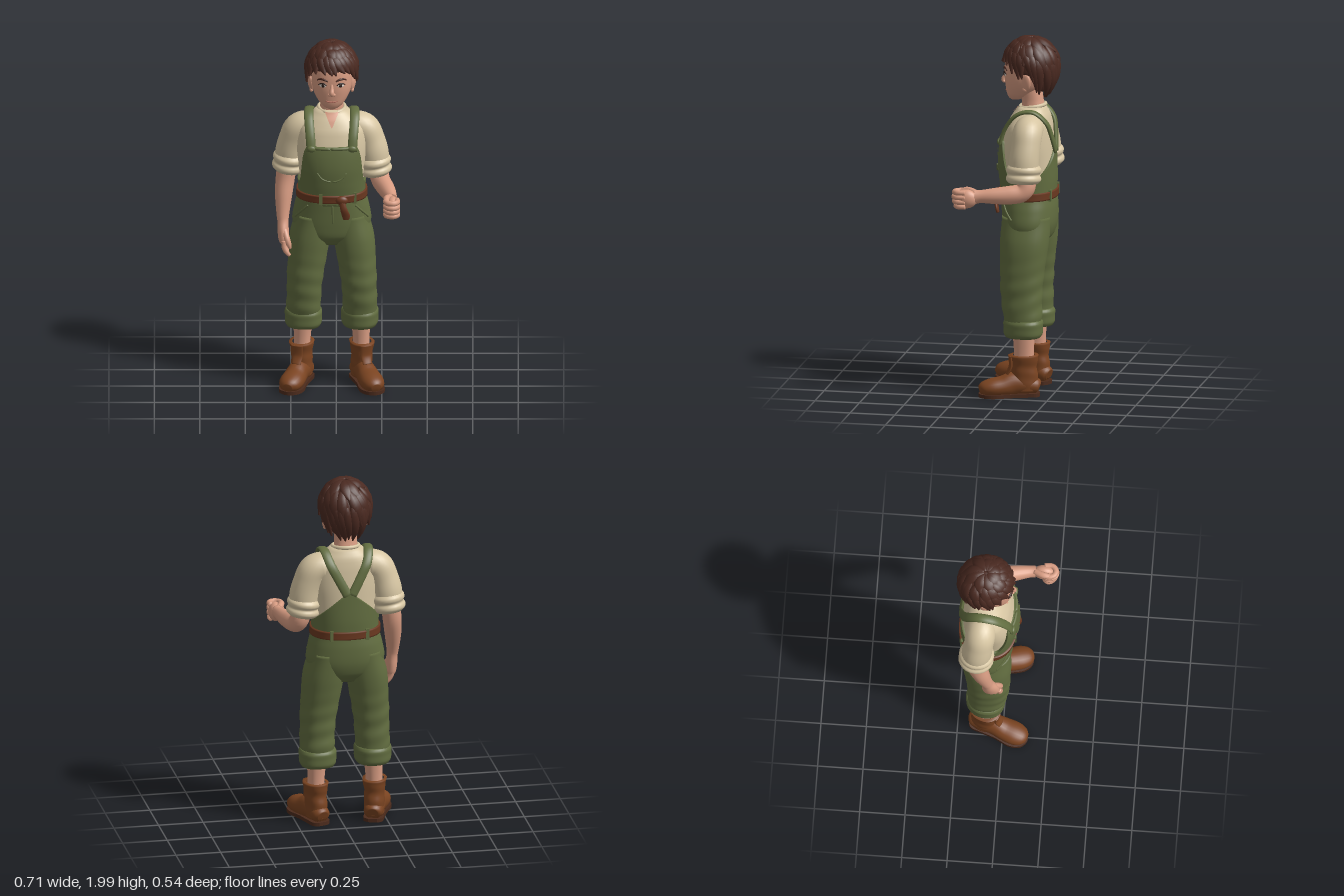
import * as THREE from 'three';

const mat = (name, color) => Object.assign(new THREE.MeshStandardMaterial({ color }), { name });
const { clamp, lerp, smoothstep } = THREE.MathUtils;
const AXIS = -0.025; // the body stands a little off centre because of the raised arm
const BULGE = 0.9;   // below 1 makes cross-sections slightly boxy

// Smooth interpolation through rows of numbers, t in 0..1
function sample(rows, t) {
  const k = clamp(t, 0, 1) * (rows.length - 1), i = Math.min(Math.floor(k), rows.length - 2), f = k - i;
  const row = n => rows[clamp(n, 0, rows.length - 1)];
  return rows[0].map((_, c) => {
    const [p, q, r, s] = [row(i - 1)[c], row(i)[c], row(i + 1)[c], row(i + 2)[c]];
    return q + 0.5 * f * (r - p + f * (2 * p - 5 * q + 4 * r - s + f * (3 * (q - r) + s - p)));
  });
}

// Closed skin of rings; the first and last ring repeat the end so they can be drawn in
function grid(nu, nv, fn) {
  const pos = [], idx = [];
  for (let j = 0; j <= nv; j++) for (let i = 0; i < nu; i++)
    pos.push(...fn(i / nu * Math.PI * 2, clamp((j - 1) / (nv - 2), 0, 1), j === 0 || j === nv));
  for (let j = 0; j < nv; j++) for (let i = 0; i < nu; i++) {
    const a = j * nu + i, b = j * nu + (i + 1) % nu;
    idx.push(a, b, b + nu, a, b + nu, a + nu);
  }
  const g = new THREE.BufferGeometry();
  g.setAttribute('position', new THREE.Float32BufferAttribute(pos, 3));
  g.setIndex(idx);
  g.computeVertexNormals();
  return g;
}

// Upright forms are rows of [y, centre z, half width, half depth, centre x]
function ringAt(rows, y) {
  let i = 0;
  while (i < rows.length - 2 && y > rows[i + 1][0]) i++;
  return sample(rows, (i + (y - rows[i][0]) / (rows[i + 1][0] - rows[i][0])) / (rows.length - 1));
}
const power = v => Math.sign(v) * Math.abs(v) ** BULGE;
function wrap(rows, { y0 = rows[0][0], top = () => rows.at(-1)[0], off = 0, inset = 0, nu = 32, nv = 24, wobble = () => 0 } = {}) {
  return grid(nu, nv, (a, t, end) => {
    const y = lerp(y0, top(a), t), [, z, rx, rz, x = 0] = ringAt(rows, y);
    const k = (end ? inset : 1) * (1 + wobble(a, y));
    return [x + power(Math.sin(a)) * (rx + off) * k, y, z + power(Math.cos(a)) * (rz + off) * k];
  });
}
function surfaceZ(rows, x, y, side = 1) {
  const [, z, rx, rz] = ringAt(rows, y), s = Math.min(1, (Math.abs(x) / rx) ** (1 / BULGE));
  return z + side * rz * (1 - s * s) ** (BULGE / 2);
}
// Thin patch laid on the front of an upright form
function drape(rows, yTop, yBottom, wTop, wBottom, off) {
  const g = new THREE.PlaneGeometry(1, 1, 12, 10), p = g.attributes.position;
  for (let i = 0; i < p.count; i++) {
    const f = p.getY(i) + 0.5, x = p.getX(i) * 2 * lerp(wBottom, wTop, f), y = lerp(yBottom, yTop, f);
    p.setXYZ(i, x, y, surfaceZ(rows, x, y) + off);
  }
  g.computeVertexNormals();
  return g;
}

// Limbs are rows of [x, y, z, radius along ref, radius across]
function tube(rows, ref = [1, 0, 0], nu = 14, nv = 22, floor = -1) {
  rows = rows.map(r => r.length < 5 ? [...r, r[3]] : r);
  return grid(nu, nv, (a, t, end) => {
    const [x, y, z, rn, rb] = sample(rows, t);
    const T = new THREE.Vector3(...sample(rows, t + 0.02)).sub(new THREE.Vector3(...sample(rows, t - 0.02))).normalize();
    const N = new THREE.Vector3(...ref).addScaledVector(T, -T.dot(new THREE.Vector3(...ref))).normalize();
    const B = T.clone().cross(N), k = end ? 0 : 1;
    const p = new THREE.Vector3(x, y, z).addScaledVector(N, rn * k * Math.cos(a)).addScaledVector(B, rb * k * Math.sin(a));
    return [p.x, Math.max(p.y, floor), p.z];
  });
}

export function createModel() {
  const skin = mat('skin', 0xd99d83), cloth = mat('shirt cloth', 0xd6c5a2), green = mat('overall cloth', 0x626d40),
    leather = mat('belt leather', 0x6b3820), bootLeather = mat('boot leather', 0x7b4421), soleMat = mat('sole', 0x4c2b1c),
    hairMat = mat('hair', 0x4b2a21), white = mat('eye white', 0xe8e0d6), dark = mat('dark eye', 0x2c1d18), lip = mat('lip', 0xb9705f);
  const model = new THREE.Group(), body = new THREE.Group();
  body.name = 'body';
  body.position.x = AXIS;
  model.add(body);
  const add = (name, geometry, material, parent = body) => {
    const m = new THREE.Mesh(geometry, material);
    m.name = name;
    parent.add(m);
    return m;
  };
  const ball = (name, material, p, s, parent = body) => {
    const m = add(name, new THREE.SphereGeometry(1, 20, 14), material, parent);
    m.position.set(...p);
    m.scale.set(...s);
    return m;
  };

  // Torso, neck and shirt
  const torso = [[1.0, -.095, .185, .145], [1.1, -.095, .175, .138], [1.2, -.09, .176, .146], [1.3, -.085, .185, .148],
    [1.4, -.088, .194, .14], [1.5, -.097, .185, .122], [1.56, -.107, .135, .1], [1.605, -.112, .082, .072]];
  add('shirt', wrap(torso, { nu: 48, nv: 36 }), cloth);
  add('neck', wrap([[1.5, -.118, .07, .066], [1.6, -.117, .066, .063], [1.64, -.113, .062, .06], [1.72, -.1, .064, .062]]), skin);
  add('neckOpening', drape(torso, 1.6, 1.525, .038, .002, .004), skin);
  const collar = add('collar', new THREE.TorusGeometry(.072, .011, 8, 40, Math.PI * 2 - 0.9).rotateZ(Math.PI / 2 + 0.45).rotateX(-Math.PI / 2).rotateY(Math.PI), cloth);
  collar.geometry.rotateY(Math.PI);
  collar.rotation.set(0.12, Math.PI, 0);
  collar.position.set(0, 1.604, -.112);

  // Overalls: bib shell, pocket, straps
  const bibTop = a => {
    const d = Math.min(a, Math.PI * 2 - a);
    if (d < 1.5) return lerp(1.425, 1.2, smoothstep(d, .65, 1.25));
    return 1.2 + .17 * Math.max(0, (d - 1.8) / 1.34) ** 1.3;
  };
  add('bib', wrap(torso, { y0: 1.08, top: bibTop, off: .012, inset: .92, nu: 80, nv: 26 }), green);
  add('bibPocket', drape(torso, 1.37, 1.23, .085, .075, .018), green);
  const line = (pts, r, side = 1, off = .012) => pts.map(([x, y]) => [x, y, surfaceZ(torso, x, y, side) + side * off, r]);
  add('bibHem', tube(line([-.115, -.06, 0, .06, .115].map(x => [x, 1.418]), .009)), green);
  add('pocketSeam', tube(line([[-.08, 1.28], [-.05, 1.245], [0, 1.232], [.05, 1.245], [.08, 1.28]], .005, 1, .017)), green);
  for (const s of [-1, 1]) {
    const strap = [[.112, 1.4, surfaceZ(torso, .112, 1.4) + .014], [.118, 1.48, surfaceZ(torso, .118, 1.48) + .012], [.125, 1.555, -.03],
      [.126, 1.588, -.09], [.12, 1.583, -.155], [.1, 1.525, -.212], [.062, 1.45, surfaceZ(torso, .06, 1.45, -1) - .012],
      [.012, 1.355, surfaceZ(torso, .012, 1.355, -1) - .014]];
    add('strap', tube(strap.map(([x, y, z]) => [x * s, y, z, .026, .011]), [1, 0, 0], 12, 40), green);
    ball('strapButton', green, [.112 * s, 1.415, surfaceZ(torso, .112, 1.415) + .022], [.024, .018, .012]);
  }

  // Trousers: seat, legs with soft folds, turned-up cuffs
  add('trouserSeat', wrap([[.83, -.095, .1, .09], [.88, -.095, .185, .132], [.95, -.1, .217, .148], [1.04, -.099, .205, .152], [1.115, -.094, .187, .15]], { nu: 48 }), green);
  add('flySeam', tube([[.004, 1.08, .054, .005], [.005, 1, .05, .005], [.003, .93, .034, .005]]), green);
  for (const s of [-1, 1]) {
    const sided = rows => rows.map(([y, z, rx, rz, x]) => [y, z, rx, rz, x * s]);
    const folds = (a, y) => .022 * smoothstep(.85 - y, 0, .3) * Math.sin(y * 62 + 2 * Math.sin(a + s));
    add('trouserLeg', wrap(sided([[.4, -.093, .09, .1, .155], [.46, -.089, .096, .108, .155], [.53, -.084, .095, .112, .152], [.62, -.082, .1, .118, .147],
      [.72, -.086, .106, .124, .136], [.86, -.093, .113, .135, .12], [1.0, -.1, .1, .135, .1]]), { nv: 44, wobble: folds }), green);
    add('trouserCuff', wrap(sided([[.333, -.095, .092, .097, .155], [.35, -.095, .101, .107, .155], [.385, -.095, .102, .108, .155],
      [.415, -.095, .103, .109, .155], [.432, -.094, .094, .1, .155]]), { inset: .6, nv: 16, wobble: a => .02 * Math.sin(3 * a + s) }), green);
    add('hipPocket', tube([[.13 * s, 1.075, .022, .006], [.165 * s, 1.035, .002, .006], [.2 * s, .99, -.035, .006]]), green);
    add('ankle', wrap(sided([[.15, -.098, .046, .055, .163], [.25, -.098, .046, .055, .162], [.4, -.096, .056, .064, .157]])), skin);

    // Boots, toes turned out
    const boot = new THREE.Group();
    boot.name = 'boot';
    boot.position.set(.165 * s, 0, -.1);
    boot.rotation.y = .33 * s;
    body.add(boot);
    add('bootShaft', wrap([[.03, -.008, .054, .07], [.1, -.004, .056, .074], [.165, 0, .056, .07], [.205, 0, .062, .075], [.232, 0, .067, .08]],
      { inset: .75, wobble: (a, y) => .018 * Math.sin(y * 90 + a) }), bootLeather, boot);
    add('bootFoot', tube([[0, .05, -.082, .03, .03], [0, .055, -.065, .045, .05], [0, .065, 0, .06, .056], [0, .068, .06, .068, .057],
      [0, .056, .12, .058, .064], [0, .05, .18, .052, .066], [0, .045, .225, .04, .052], [0, .04, .248, .022, .026]], [0, 1, 0], 24, 30, .016), bootLeather, boot);
    const half = [[-.086, .025], [-.062, .053], [0, .056], [.08, .058], [.17, .07], [.225, .053], [.25, .018]];
    const outline = [...half.map(([z, w]) => new THREE.Vector2(w, -z)), ...half.toReversed().map(([z, w]) => new THREE.Vector2(-w, -z))];
    add('sole', new THREE.ExtrudeGeometry(new THREE.Shape(new THREE.SplineCurve(outline).getPoints(60)), { depth: .02, bevelEnabled: false }).rotateX(-Math.PI / 2), soleMat, boot);
    add('bootTongue', tube([[0, .23, .078, .035, .01], [0, .17, .075, .032, .01], [0, .125, .095, .025, .008]]), bootLeather, boot);
  }

  // Belt with loops, knot and hanging end
  add('belt', wrap(torso, { y0: 1.098, top: () => 1.142, off: .021, inset: .93, nu: 56, nv: 8 }), leather);
  for (const [x, side] of [[-.06, 1], [.125, 1], [-.1, -1], [.1, -1]]) {
    const loop = add('beltLoop', new THREE.BoxGeometry(.02, .062, .014), green);
    loop.position.set(x, 1.12, surfaceZ(torso, x, 1.12, side) + side * .02);
  }
  ball('beltKnot', leather, [.055, 1.118, .064], [.034, .026, .02]);
  add('beltEnd', tube([[.055, 1.115, .072, .016, .01], [.066, 1.07, .078, .019, .009], [.078, 1.03, .07, .022, .009], [.077, 1.008, .066, .016, .008]]), leather);

  // Sleeves with rolled cuffs
  const cuff = (p, q) => tube([.078, .092, .093, .085, .093, .092, .076].map((r, i) => [...p.map((v, c) => lerp(v, q[c], i / 6)), r, r * 1.04]), [1, 0, 0], 24, 26);
  add('rightSleeve', tube([[-.09, 1.485, -.12, .07], [-.15, 1.495, -.122, .079], [-.205, 1.475, -.125, .083], [-.235, 1.41, -.132, .081], [-.252, 1.34, -.14, .083], [-.26, 1.27, -.145, .08]], [1, 0, .2], 24, 30), cloth, model);
  add('rightCuff', cuff([-.252, 1.325, -.14], [-.264, 1.222, -.146]), cloth, model);
  add('leftSleeve', tube([[.04, 1.485, -.12, .07], [.1, 1.495, -.12, .079], [.155, 1.475, -.12, .083], [.186, 1.41, -.118, .081], [.204, 1.34, -.113, .083], [.212, 1.27, -.113, .08]], [1, 0, .2], 24, 30), cloth, model);
  add('leftCuff', cuff([.204, 1.315, -.112], [.216, 1.215, -.112]), cloth, model);

  // Right arm hanging, fingers relaxed
  add('rightForearm', tube([[-.265, 1.29, -.145, .054], [-.28, 1.18, -.14, .053], [-.29, 1.08, -.115, .047], [-.294, .98, -.088, .035], [-.293, .94, -.078, .031, .034],
    [-.292, .89, -.066, .031, .045], [-.289, .845, -.058, .029, .048], [-.285, .825, -.055, .02, .04]], [1, 0, 0], 18, 36), skin, model);
  for (let i = 0; i < 4; i++) {
    const z = -.092 + i * .025, drop = [.018, .004, 0, .01][i];
    add('rightFinger', tube([[-.289, .85, z, .014], [-.287, .805 + drop, z + .004, .0145], [-.272, .775 + drop, z + .008, .0135], [-.255, .757 + drop, z + .01, .009]], [0, 0, 1], 10, 14), skin, model);
  }
  add('rightThumb', tube([[-.287, .91, -.048, .016], [-.272, .865, -.018, .017], [-.26, .83, -.008, .014], [-.254, .808, -.006, .008]], [1, 0, 0], 10, 14), skin, model);

  // Left arm bent forward, hand closed
  add('leftForearm', tube([[.215, 1.29, -.112, .056], [.232, 1.21, -.13, .054], [.247, 1.168, -.105, .052], [.268, 1.157, -.04, .049, .051], [.288, 1.153, .04, .042, .044],
    [.302, 1.15, .11, .033, .036], [.306, 1.147, .14, .033, .04]], [1, 0, 0], 18, 36), skin, model);
  ball('leftPalm', skin, [.31, 1.135, .19], [.038, .053, .062], model);
  for (let i = 0; i < 4; i++) {
    const y = 1.172 - i * .026, b = [0, .004, 0, -.008][i];
    add('leftFinger', tube([[.333, y, .19, .015], [.335, y, .232 + b, .0155], [.312, y, .254 + b, .0155], [.282, y, .246 + b, .0155], [.271, y, .212, .015], [.288, y, .188, .012]], [0, 1, 0], 10, 22), skin, model);
  }
  add('leftThumb', tube([[.298, 1.168, .14, .018], [.277, 1.178, .185, .018], [.276, 1.172, .22, .015], [.285, 1.168, .245, .009]], [0, 1, 0], 10, 16), skin, model);

  // Head and face
  const head = [[1.633, -.018, .022, .024], [1.645, -.026, .046, .046], [1.67, -.042, .072, .071], [1.71, -.062, .096, .097], [1.75, -.07, .108, .11],
    [1.79, -.075, .112, .116], [1.83, -.08, .113, .12], [1.87, -.085, .108, .118], [1.91, -.09, .092, .1], [1.95, -.09, .05, .055]];
  add('head', wrap(head, { nu: 40, nv: 36 }), skin);
  add('nose', tube([[0, 1.795, .032, .008], [0, 1.765, .041, .011], [0, 1.742, .049, .014], [0, 1.73, .044, .016, .01]], [1, 0, 0], 14, 18), skin);
  const onFace = (pts, off) => pts.map(([x, y, r]) => [x, y, surfaceZ(head, x, y) + off, r]);
  add('mouth', tube(onFace([[-.033, 1.692, .002], [-.016, 1.686, .004], [0, 1.685, .0045], [.016, 1.686, .004], [.033, 1.692, .002]], .001)), lip);
  for (const s of [-1, 1]) {
    ball('nostrilWing', skin, [.013 * s, 1.732, .042], [.009, .008, .01]);
    const z = surfaceZ(head, .05, 1.783);
    ball('eyeWhite', white, [.05 * s, 1.783, z], [.019, .0105, .005]).rotation.y = .4 * s;
    ball('iris', dark, [.048 * s, 1.783, z + .003], [.0095, .0105, .005]).rotation.y = .4 * s;
    add('eyelash', tube(onFace([[.028 * s, 1.785, .0025], [.042 * s, 1.795, .004], [.058 * s, 1.795, .004], [.073 * s, 1.786, .0025]], .003)), dark);
    add('eyebrow', tube(onFace([[.022 * s, 1.81, .004], [.045 * s, 1.819, .006], [.065 * s, 1.819, .005], [.08 * s, 1.81, .003]], .002)), hairMat);
    const ear = ball('ear', skin, [.117 * s, 1.752, -.1], [.013, .047, .029]);
    ear.rotation.set(-.15, .35 * -s, .15 * -s);
    ball('earlobe', skin, [.112 * s, 1.713, -.092], [.01, .014, .014]);
  }

  // Hair: a cap with a varying hairline, covered in tapered locks
  const hairPoint = (phi, t, lift = 0) => {
    const d = Math.abs(Math.atan2(Math.sin(phi), Math.cos(phi)));
    const th = t * (1.38 + .36 * smoothstep(d, .6, 1.4) + .6 * smoothstep(d, 1.6, 2.4)), c = Math.cos(th), r = Math.sin(th);
    return [(.137 + lift) * r * Math.sin(phi), 1.835 + c * ((c > 0 ? .145 : .2) + lift), -.105 + (.148 + lift) * r * Math.cos(phi)];
  };
  add('hairCap', grid(48, 24, (a, t, end) => {
    const [x, y, z] = hairPoint(a, 1 - t), k = end && t === 0 ? .65 : 1;
    return [x * k, y, -.09 + (z + .09) * k];
  }), hairMat);
  let seed = 7;
  const rand = () => (seed = seed * 16807 % 2147483647) / 2147483647;
  for (const [count, from, to, width] of [[24, .5, 1.07, .027], [17, .28, .82, .033], [10, .04, .5, .034]])
    for (let i = 0; i < count; i++) {
      const phi = (i + rand() * .6) / count * Math.PI * 2, twist = .15 + rand() * .4, end = to + (rand() - .5) * .08;
      const rows = [.3, .85, 1, .75, .12].map((w, k) =>
        [...hairPoint(phi + twist * k / 4, lerp(from, end, k / 4), k === 4 ? .012 : .002), .004 + .011 * w, width * w]);
      const [x, y, z] = rows[2];
      add('hairLock', tube(rows, [x, y - 1.835, z + .105], 10, 14), hairMat);
    }
  return model;
}
